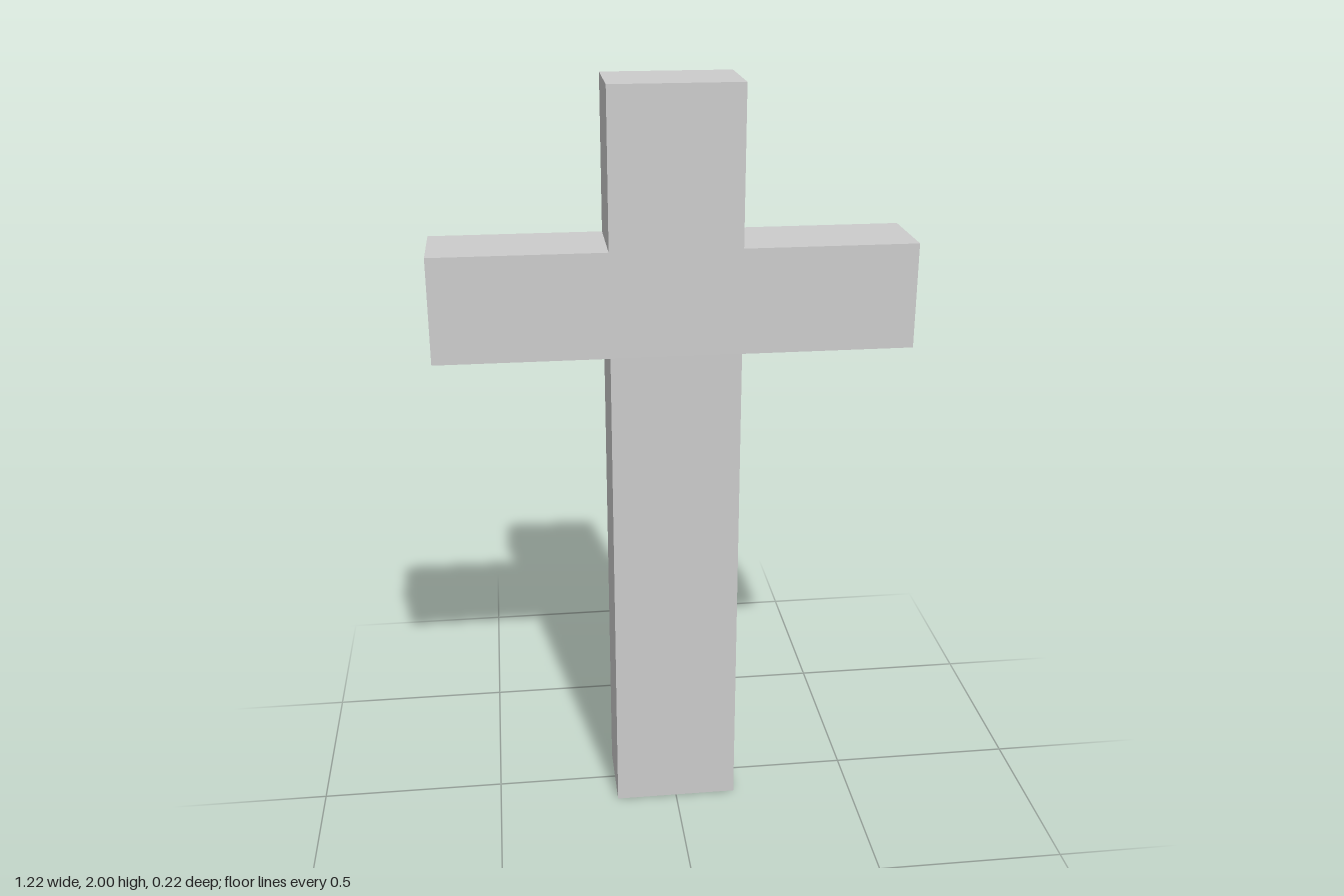
import * as THREE from 'three';

export function createModel() {
  const group = new THREE.Group();
  group.name = 'uprightCross';

  const post = 0.167;              // half width of the post
  const arm = 0.611;               // half span of the crossbar
  const low = 1.328, high = 1.6;   // crossbar underside and top
  const top = 2, depth = 0.22;

  // Right half of the outline, bottom to top, then mirrored
  const half = [[post, 0], [post, low], [arm, low], [arm, high], [post, high], [post, top]];
  const mirrored = half.map(([x, y]) => [-x, y]).reverse();
  const outline = new THREE.Shape([...half, ...mirrored].map(([x, y]) => new THREE.Vector2(x, y)));

  // Post and crossbar are one flush solid
  const geometry = new THREE.ExtrudeGeometry(outline, { depth, bevelEnabled: false });
  geometry.translate(0, 0, -depth / 2);

  const cross = new THREE.Mesh(
    geometry,
    new THREE.MeshStandardMaterial({ color: 0xcccccc, flatShading: true })
  );
  cross.name = 'postAndCrossbar';
  group.add(cross);
  return group;
}
